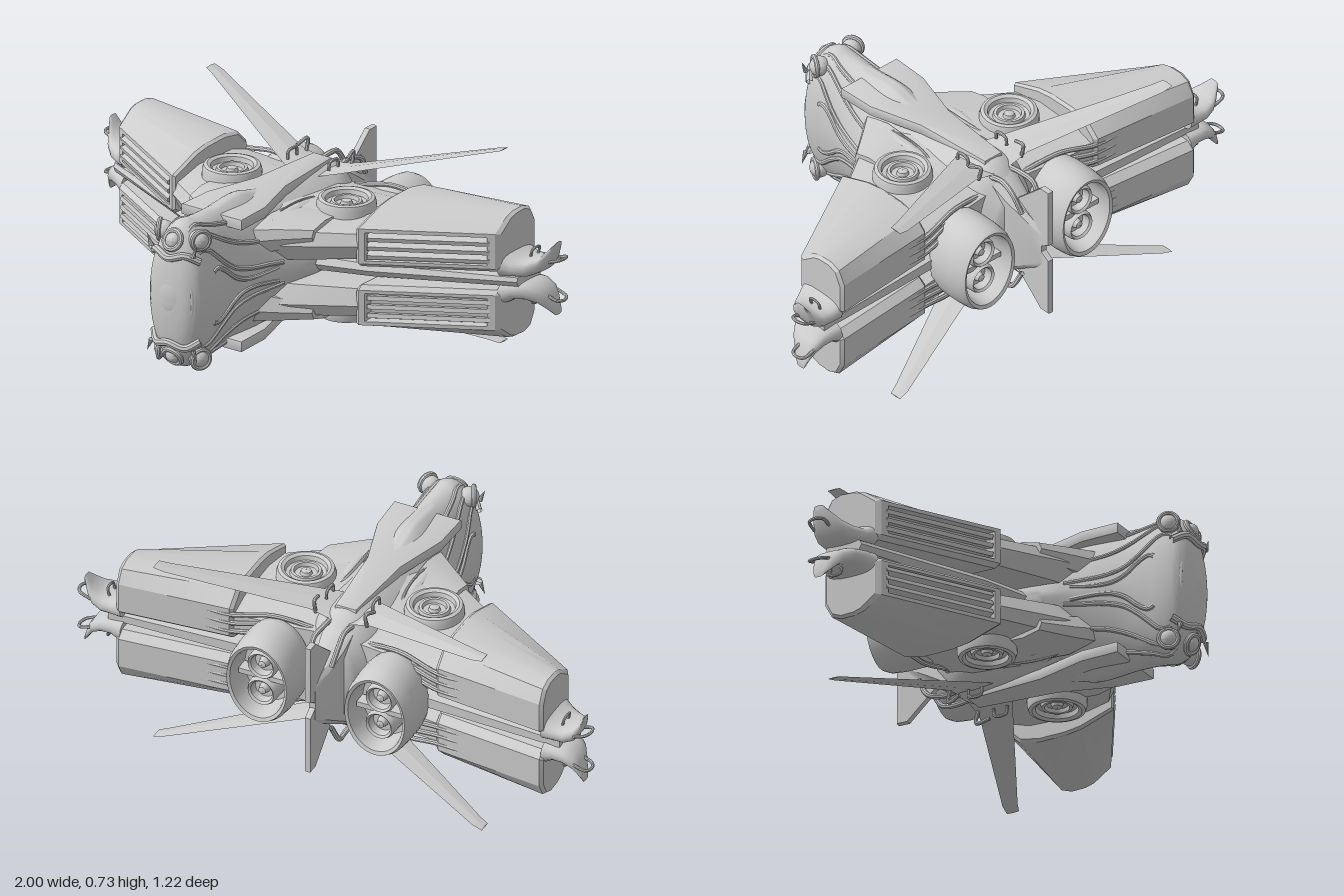
import * as THREE from 'three';
import { toCreasedNormals } from 'three/addons/utils/BufferGeometryUtils.js';

const V = (x, y, z) => new THREE.Vector3(x, y, z);
const mat = new THREE.MeshStandardMaterial({ color: 0xcccccc, side: THREE.DoubleSide });

// Closed skin through rings of equal point count, wound outwards
function loft(rings) {
  const n = rings[0].length, pos = [], idx = [];
  rings.forEach(r => r.forEach(p => pos.push(p.x, p.y, p.z)));
  for (let i = 0; i < rings.length - 1; i++) for (let j = 0; j < n; j++) {
    const a = i * n + j, b = i * n + (j + 1) % n;
    idx.push(a, b, a + n, b, b + n, a + n);
  }
  [0, rings.length - 1].forEach((i, end) => {
    const c = rings[i].reduce((s, p) => s.add(p), V(0, 0, 0)).divideScalar(n), k = pos.length / 3;
    pos.push(c.x, c.y, c.z);
    for (let j = 0; j < n; j++) {
      const a = i * n + j, b = i * n + (j + 1) % n;
      end ? idx.push(a, b, k) : idx.push(b, a, k);
    }
  });
  const at = i => V(pos[3 * i], pos[3 * i + 1], pos[3 * i + 2]);
  let vol = 0;
  for (let i = 0; i < idx.length; i += 3) vol += at(idx[i]).dot(at(idx[i + 1]).cross(at(idx[i + 2])));
  if (vol < 0) idx.reverse();
  const g = new THREE.BufferGeometry();
  g.setAttribute('position', new THREE.Float32BufferAttribute(pos, 3));
  g.setIndex(idx);
  return g;
}

// Mirrored copy with corrected winding and creased normals
function mirrored(geo, sx, sy, crease) {
  const g = geo.index ? geo.toNonIndexed() : geo.clone();
  g.deleteAttribute('normal');
  g.deleteAttribute('uv');
  g.scale(sx, sy, 1);
  if (sx * sy < 0) {
    const a = g.attributes.position.array;
    for (let i = 0; i < a.length; i += 9) for (let k = 0; k < 3; k++)
      [a[i + 3 + k], a[i + 6 + k]] = [a[i + 6 + k], a[i + 3 + k]];
  }
  return toCreasedNormals(g, crease);
}

const tube = (pts, r, seg = 24) => new THREE.TubeGeometry(new THREE.CatmullRomCurve3(pts), seg, r, 8);
const ball = (sx, sy, sz, x, y, z) => new THREE.SphereGeometry(1, 28, 20).scale(sx, sy, sz).translate(x, y, z);
const lathe = pts => new THREE.LatheGeometry(pts.map(p => new THREE.Vector2(...p)), 40);

// Fuselage stations: z, half width, half height, section exponent
const stations = [[.603, .03, .06, 2], [.595, .065, .13, 2], [.58, .09, .2, 2], [.555, .11, .25, 2], [.51, .12, .277, 2],
  [.45, .122, .27, 2], [.35, .13, .27, 1.7], [.2, .165, .28, 1.5], [.1, .2, .255, 1.4], [0, .22, .245, 1.4],
  [-.2, .2, .25, 1.6], [-.32, .15, .24, 2], [-.42, .08, .15, 2]];
const spine = new THREE.CatmullRomCurve3(stations.map(s => V(s[0], s[1], s[2])));
const bulge = new THREE.CatmullRomCurve3(stations.map(s => V(s[3], 0, 0)));
function skin(u, a) {
  const s = spine.getPoint(u), e = 2 / bulge.getPoint(u).x, c = Math.cos(a), d = Math.sin(a);
  return V(s.y * Math.sign(c) * Math.abs(c) ** e, s.z * Math.sign(d) * Math.abs(d) ** e, s.x);
}

// Wing section running front to back at one x
const wingRing = (x, zf, zb, lo, hi) => [[0, .5], [.05, .8], [.35, 1], [.8, .95], [1, .75], [1, .2], [.8, 0], [.08, .1]]
  .map(([t, h]) => V(x, lo + (hi - lo) * h, zf + (zb - zf) * t));

// Pod section; the notch pushes the grille points inwards
function podRing(x, notch, shrink = 0) {
  const t = (x - .4) / .43, zf = .035 - .255 * t - shrink, zb = -.4 - .04 * t + shrink, c = zf - zb, n = notch ? .035 : 0;
  return [[zf - .02, .035], [zf, .05], [zf, .062], [zf - n, .064], [zf - n, .166], [zf, .168], [zf, .182],
    [zf - .3 * c, .228], [zf - .45 * c, .238], [zb + .3 * c, .24], [zb + .12 * c, .225], [zb, .175], [zb, .06], [zb + .03, .035]]
    .map(([z, y]) => V(x, .13 + (y - .13) * (1 - shrink * 6), z));
}

export function createModel() {
  const model = new THREE.Group();
  model.position.y = .365;
  const root = new THREE.Group();
  root.add(model);

  // Adds a part, mirrored over x and/or y
  function put(name, geo, mx = true, my = true, crease = .6) {
    for (const sx of mx ? [1, -1] : [1]) for (const sy of my ? [1, -1] : [1]) {
      const m = new THREE.Mesh(mirrored(geo, sx, sy, crease), mat);
      m.name = name + (mx ? (sx > 0 ? 'Left' : 'Right') : '') + (my ? (sy > 0 ? 'Upper' : 'Lower') : '');
      model.add(m);
    }
  }

  // Fuselage with raised ridges sweeping back from the head
  put('fuselage', loft(Array.from({ length: 73 }, (_, i) =>
    Array.from({ length: 56 }, (_, j) => skin(i / 72, j / 56 * Math.PI * 2)))), false, false, 1);
  [[.27, .62, .75, .2], [.3, .66, 1.0, .55], [.25, .68, 1.22, 1.0], [.36, .6, .35, .12]].forEach(([u0, u1, a0, a1]) =>
    put('flankRidge', tube(Array.from({ length: 9 }, (_, i) => {
      const t = i / 8, p = skin(u0 + (u1 - u0) * t, a0 + (a1 - a0) * t + .08 * Math.sin(t * 7));
      return p.multiplyScalar(1 - .04 * Math.abs(t - .5)).setZ(p.z);
    }), .009)));

  // Canopy, its rim and the lamps on the head
  put('canopy', ball(.08, .125, .055, 0, .01, .553), false, false, 1);
  put('canopyRim', new THREE.TorusGeometry(1, .09, 10, 40).scale(.088, .145, .12).translate(0, .005, .572), false, false, 1);
  put('brow', tube([V(-.1, .15, .545), V(-.06, .175, .582), V(0, .16, .598), V(.06, .175, .582), V(.1, .15, .545)], .014), false);
  put('foreheadLamp', ball(.03, .03, .03, 0, .215, .565), false);
  put('foreheadRing', new THREE.TorusGeometry(.034, .01, 8, 28).rotateX(-.5).translate(0, .22, .572), false);
  put('sideLamp', ball(.036, .036, .036, .075, .222, .52), true, true, 1);
  put('sideLampRing', new THREE.TorusGeometry(.034, .009, 8, 28).rotateY(1.1).translate(.09, .225, .527));
  put('headSpike', new THREE.ConeGeometry(.01, .05, 8).rotateZ(-.4).translate(.1, .2, .575));

  // Back plate, clips and side vents
  const plate = new THREE.Shape([[-.035, -.3], [-.06, 0], [-.12, .2], [-.125, .34], [.125, .34], [.12, .2], [.06, 0], [.035, -.3]]
    .map(p => new THREE.Vector2(p[0], -p[1])));
  put('backPlate', new THREE.ExtrudeGeometry(plate, { depth: .03, bevelSize: .006, bevelThickness: .006, bevelSegments: 2 })
    .rotateX(-Math.PI / 2).translate(0, .215, 0), false);
  put('backClip', tube([V(.09, .24, -.22), V(.09, .268, -.225), V(.09, .268, -.27), V(.09, .24, -.275)], .006));
  put('backHook', tube([V(.1, .22, -.34), V(.1, .275, -.35), V(.11, .262, -.3)], .007));
  put('sideVent', ball(.03, .035, .13, .125, .165, .02), true, true, 1);
  put('ventRim', new THREE.TorusGeometry(1, .12, 8, 36).rotateX(Math.PI / 2).scale(.036, .06, .14).rotateZ(-.65).translate(.135, .175, .02));

  // Inner wings in two layers, with the thin wing between them
  put('innerWing', loft([wingRing(.06, .24, -.36, .02, .2), wingRing(.2, .17, -.37, .03, .19), wingRing(.42, .02, -.39, .045, .18)]));
  put('middleWing', loft([wingRing(0, .1, -.36, -.045, .045), wingRing(.4, -.03, -.38, -.035, .035), wingRing(.88, -.26, -.4, -.025, .025)]), true, false);
  put('rootFairing', loft([wingRing(.1, .26, -.1, .06, .2), wingRing(.17, .2, -.1, .08, .195), wingRing(.27, .12, -.1, .1, .185)]));

  // Lift fans
  put('liftFan', lathe([[.108, 0], [.106, .1], [.1, .118], [.088, .122], [.076, .115], [.072, .098], [.058, .096],
    [.054, .108], [.044, .108], [.04, .094], [.022, .094], [.018, .106], [.001, .11]]).translate(.25, .1, -.11));

  // Wing pods with slatted grilles along the slanted front
  put('wingPod', loft([podRing(.395, false, .012), podRing(.407, false), podRing(.425, false), podRing(.426, true),
    podRing(.795, true), podRing(.796, false), podRing(.82, false), podRing(.832, false, .012)]), true, true, .4);
  const slope = Math.atan2(.255, .43);
  for (let i = 0; i < 3; i++) put('grilleSlat', new THREE.BoxGeometry(.43, .016, .04).rotateX(.25)
    .rotateY(slope).translate(.61, .082 + i * .033, -.108));

  // Wing tips curling into claws
  const tips = [[.82, -.225, -.43, .005, .1], [.86, -.245, -.425, .01, .075], [.9, -.27, -.425, .012, .075],
    [.935, -.3, -.42, .03, .09], [.955, -.33, -.41, .06, .115], [.972, -.36, -.4, .115, .138]];
  put('wingTip', loft(tips.map(([x, zf, zb, lo, hi]) => Array.from({ length: 20 }, (_, j) => {
    const a = j / 20 * Math.PI * 2, q = v => Math.sign(v) * Math.abs(v) ** .7;
    return V(x, (lo + hi) / 2 + q(Math.sin(a)) * (hi - lo) / 2, (zf + zb) / 2 + q(Math.cos(a)) * (zf - zb) / 2);
  }))), true, true, 1);
  put('tipHook', tube([V(.94, .06, -.35), V(.985, .075, -.355), V(.996, .078, -.38), V(.985, .075, -.41), V(.94, .06, -.415)], .006));
  put('tipHandle', tube([V(.88, .06, -.34), V(.89, .1, -.34), V(.89, .1, -.38), V(.88, .06, -.38)], .005));

  // Oval engines with twin exhausts, ribs and rods
  put('engine', lathe([[.5, .24], [.82, .28], [.86, .32], [.82, .335], [.86, .35], [.97, .37], [1, .4], [1, .47], [.97, .52],
    [.9, .545], [.82, .54], [.78, .51], [.74, .44], [.001, .43]]).rotateX(-Math.PI / 2).scale(.13, .175, 1).translate(.23, 0, 0), true, false);
  put('exhaust', lathe([[.058, .42], [.056, .5], [.05, .512], [.042, .505], [.038, .475], [.02, .475], [.014, .5], [.001, .505]])
    .rotateX(-Math.PI / 2).translate(.23, .056, 0));
  put('exhaustBrace', new THREE.BoxGeometry(.19, .02, .05).translate(.23, 0, -.47), true, false);
  for (let i = 0; i < 3; i++) {
    put('rearRod', tube([V(.1, .08 + i * .035, -.34), V(.25, .1 + i * .038, -.37), V(.4, .08 + i * .035, -.395), V(.5, .08 + i * .035, -.4)], .009));
  }

  // Long swept antenna blades
  const blade = (x, y, z0, z1, t) => [V(x, y, z0), V(x, y + t, (z0 + z1) / 2), V(x, y, z1), V(x, y - t, (z0 + z1) / 2)];
  put('blade', loft([blade(.03, .215, -.17, -.35, .008), blade(.12, .235, -.215, -.35, .007),
    blade(.6, .353, -.465, -.525, .004), blade(.64, .363, -.482, -.53, .002)]), true, true, .2);

  // Tail fins with a tapered spine and side rails
  const fin = new THREE.Shape([[-.38, .02], [-.42, .13], [-.565, .262], [-.605, .262], [-.605, .035], [-.56, .008]]
    .map(p => new THREE.Vector2(...p)));
  put('tailFin', new THREE.ExtrudeGeometry(fin, { depth: .01, bevelSize: .002, bevelThickness: .006, bevelSegments: 2 })
    .translate(0, 0, -.005).rotateY(-Math.PI / 2), false);
  put('tailSpine', loft([[-.34, .06, .2], [-.42, .05, .15], [-.5, .03, .1], [-.57, .012, .06]].map(([z, w, h]) =>
    [V(w, -h, z), V(w, h, z), V(w * .5, h + .02, z), V(-w * .5, h + .02, z), V(-w, h, z), V(-w, -h, z), V(-w * .5, -h - .02, z), V(w * .5, -h - .02, z)])), false, false);
  put('tailRail', tube([V(.045, .2, -.32), V(.042, .215, -.4), V(.05, .2, -.46), V(.04, .13, -.5)], .01));
  return root;
}
